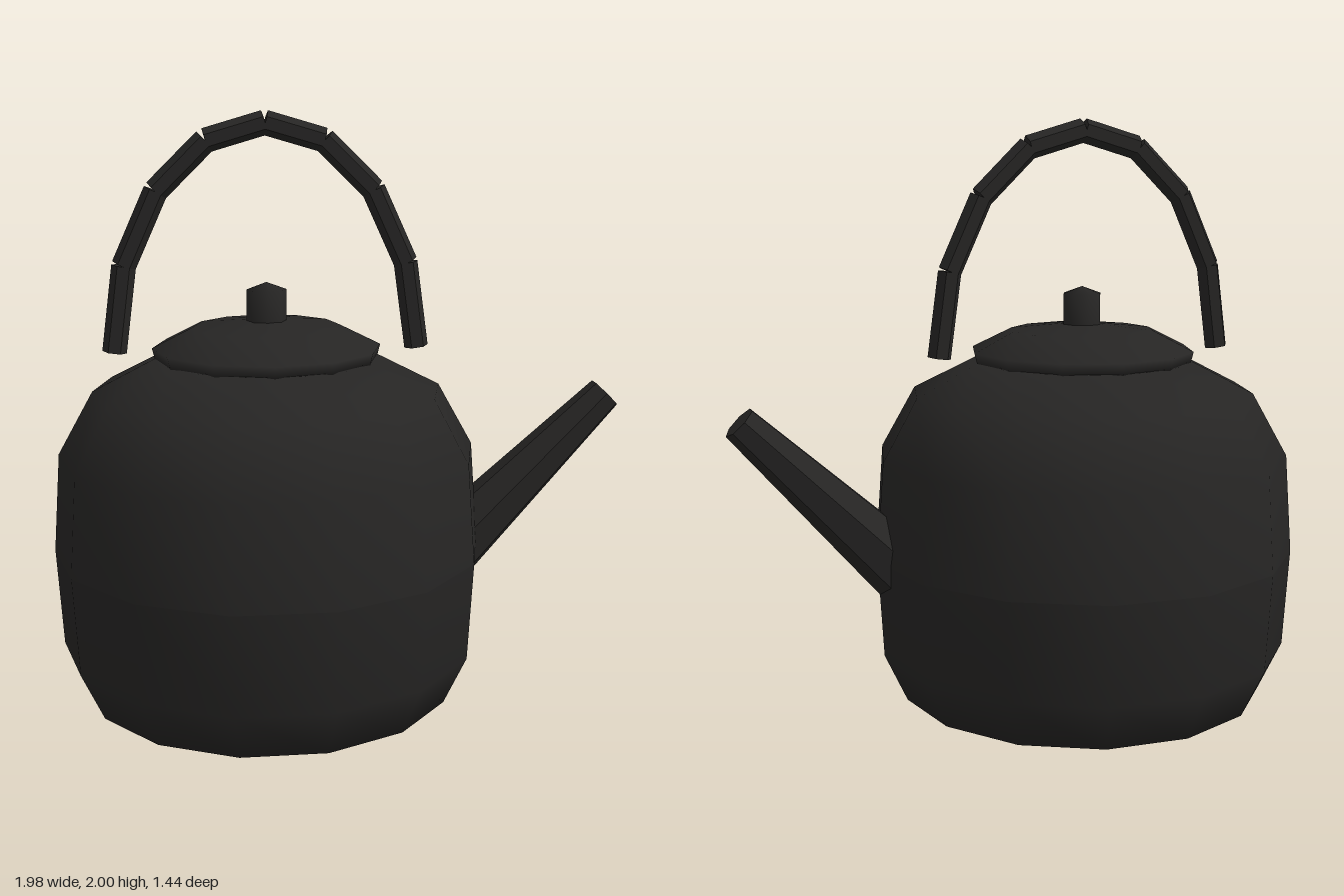
import * as THREE from 'three';

const CX = -0.25; // axis of the pot

export function createModel() {
  const group = new THREE.Group();
  const smooth = new THREE.MeshStandardMaterial({ color: 0x262524, side: THREE.DoubleSide });
  const flat = new THREE.MeshStandardMaterial({ color: 0x262524, flatShading: true });

  // Turned part around the pot's axis, with a corner pointing along x
  function turned(name, profile, sides) {
    const points = profile.map(([r, y]) => new THREE.Vector2(r, y));
    const mesh = new THREE.Mesh(new THREE.LatheGeometry(points, sides, Math.PI / 2), smooth);
    mesh.position.x = CX;
    mesh.name = name;
    group.add(mesh);
  }

  // Straight faceted rod between two points
  function rod(name, a, b, rA, rB, sides, parent) {
    const dir = b.clone().sub(a);
    const geo = new THREE.CylinderGeometry(rB, rA, dir.length(), sides);
    geo.rotateY(Math.PI / 2); // a corner towards +x
    const mesh = new THREE.Mesh(geo, flat);
    mesh.quaternion.setFromUnitVectors(new THREE.Vector3(0, 1, 0), dir.normalize());
    mesh.position.copy(a).add(b).multiplyScalar(0.5);
    mesh.name = name;
    parent.add(mesh);
  }

  // Pot in two halves with a shading seam between them
  turned('lowerBody', [[0, 0], [0.64, 0], [0.72, 0.17], [0.74, 0.51]], 14);
  turned('upperBody', [[0.74, 0.51], [0.715, 0.85], [0.595, 1.065], [0.38, 1.175], [0, 1.18]], 14);

  // Lid with knob
  turned('lid', [[0, 1.17], [0.38, 1.17], [0.39, 1.21], [0.25, 1.28], [0.06, 1.3]], 12);
  turned('knob', [[0.068, 1.28], [0.068, 1.405], [0, 1.43]], 8);

  // Tapered spout, rising at 45 degrees
  rod('spout', new THREE.Vector3(0.4, 0.475, 0), new THREE.Vector3(0.943, 1.018, 0), 0.118, 0.063, 7, group);

  // Arched handle of separate straight links
  const handle = new THREE.Group();
  handle.name = 'handle';
  group.add(handle);
  const links = 8;
  const arch = (i) => {
    const t = Math.PI * (1 - i / links);
    return new THREE.Vector3(CX + 0.515 * Math.cos(t), 1.2 + 0.76 * Math.sin(t), 0);
  };
  for (let i = 0; i < links; i++) {
    rod('handleLink' + (i + 1), arch(i), arch(i + 1), 0.041, 0.041, 6, handle);
  }

  return group;
}
